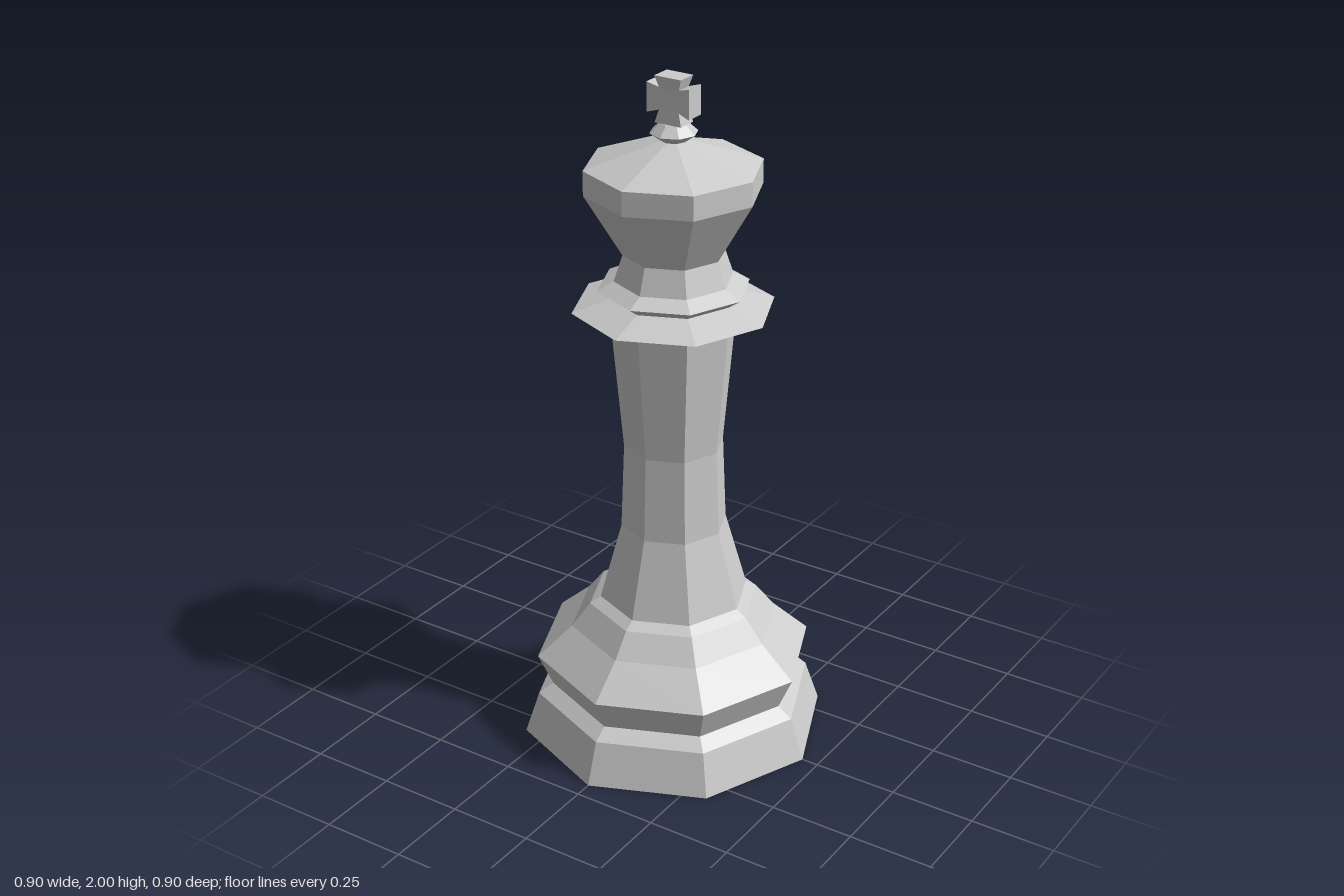
import * as THREE from 'three';

const material = new THREE.MeshStandardMaterial({ color: 0xcccccc, flatShading: true });

// Eight-sided turned part from [radius, height] pairs, bottom to top
function turned(name, profile) {
  const points = profile.map(([r, y]) => new THREE.Vector2(r, y));
  const mesh = new THREE.Mesh(new THREE.LatheGeometry(points, 8), material);
  mesh.name = name;
  return mesh;
}

// Cross arm pointing up from the hub, flaring towards its end
function flaredArm(length) {
  const start = 0.03;
  const geometry = new THREE.BoxGeometry(2, length - start, 2);
  geometry.translate(0, (length + start) / 2, 0);
  const p = geometry.attributes.position;
  for (let i = 0; i < p.count; i++) {
    const outer = p.getY(i) > (length + start) / 2;
    p.setX(i, p.getX(i) * (outer ? 0.042 : 0.031));
    p.setZ(i, p.getZ(i) * (outer ? 0.03 : 0.024));
  }
  return new THREE.Mesh(geometry, material);
}

export function createModel() {
  const model = new THREE.Group();
  model.name = 'chessKing';

  model.add(
    turned('base', [
      [0, 0], [0.45, 0], [0.408, 0.125], [0.365, 0.155],
      [0.408, 0.253], [0.305, 0.345], [0.25, 0.415], [0.218, 0.435],
    ]),
    turned('stem', [[0.218, 0.435], [0.154, 0.665], [0.144, 0.92], [0.178, 1.3]]),
    turned('collar', [
      [0.178, 1.3], [0.287, 1.34], [0.18, 1.375], [0.215, 1.4],
      [0.168, 1.425], [0.143, 1.5],
    ]),
    turned('crown', [[0.143, 1.5], [0.249, 1.68], [0.249, 1.75], [0.035, 1.82]]),
    turned('finial', [[0.035, 1.82], [0.067, 1.843], [0.038, 1.87], [0, 1.87]]),
  );

  // Cross: hub with four flared arms
  const cross = new THREE.Group();
  cross.name = 'cross';
  cross.position.y = 1.937;
  const hub = new THREE.Mesh(new THREE.BoxGeometry(0.062, 0.062, 0.048), material);
  hub.name = 'crossHub';
  cross.add(hub);
  [0.063, 0.067, 0.067, 0.067].forEach((length, i) => {
    const arm = flaredArm(length);
    arm.name = 'crossArm';
    arm.rotation.z = (i * Math.PI) / 2;
    cross.add(arm);
  });
  model.add(cross);

  return model;
}
